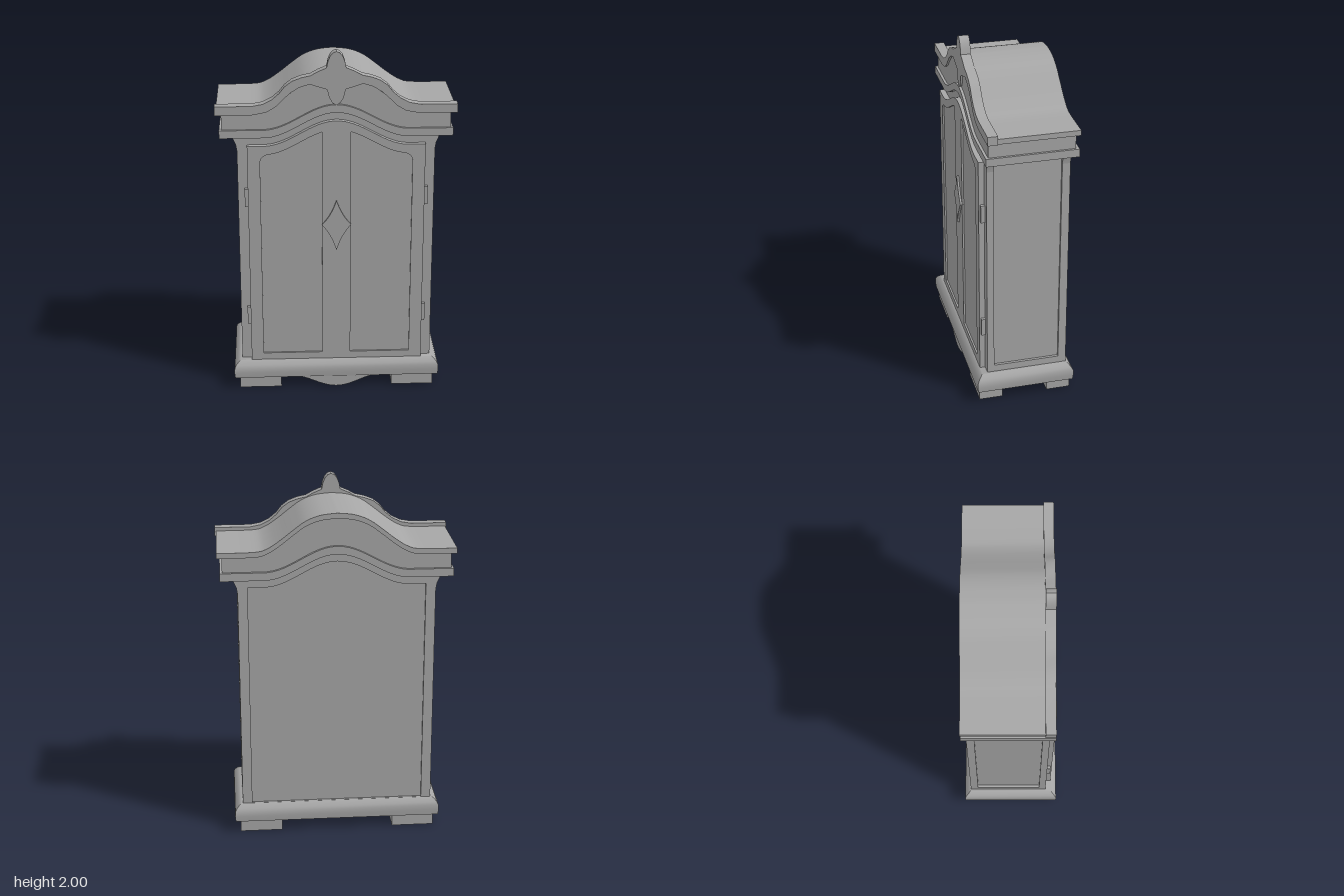
import * as THREE from 'three';
import { toCreasedNormals } from 'three/addons/utils/BufferGeometryUtils.js';

const wood = new THREE.MeshStandardMaterial({ color: 0xa6a6a6 });
wood.name = 'plain grey';

// Bell curve shared by the door, cornice and back panel
const arch = (x) => (Math.abs(x) < 0.4 ? 0.07 * (1 + Math.cos((Math.PI * x) / 0.4)) : 0);

// Half profile of the roof, read from the centre outward
const ROOF = new THREE.SplineCurve([
  [0, 1.89], [0.09, 1.88], [0.17, 1.85], [0.24, 1.8], [0.31, 1.745], [0.38, 1.7], [0.45, 1.682], [0.655, 1.68],
].map((p) => new THREE.Vector2(...p))).getPoints(42);
function roofY(x) {
  const a = Math.abs(x);
  for (let i = 1; i < ROOF.length; i++) {
    if (a <= ROOF[i].x) {
      const t = (a - ROOF[i - 1].x) / (ROOF[i].x - ROOF[i - 1].x);
      return THREE.MathUtils.lerp(ROOF[i - 1].y, ROOF[i].y, t);
    }
  }
  return 1.68;
}

// Points along y = f(x) from x0 to x1
function curve(f, x0, x1, n = 40) {
  return Array.from({ length: n + 1 }, (_, i) => {
    const x = x0 + ((x1 - x0) * i) / n;
    return new THREE.Vector2(x, f(x));
  });
}
// Closed outline between a lower and an upper curve
const between = (x0, x1, low, high, n) => [...curve(low, x0, x1, n), ...curve(high, x1, x0, n)];
const mirrored = (half) => [...half, ...half.filter((p) => p[0] > 0).reverse().map(([x, y]) => [-x, y])]
  .map((p) => new THREE.Vector2(...p));

function extrude(points, z0, z1, holes = []) {
  const shape = new THREE.Shape(points);
  shape.holes = holes.map((h) => new THREE.Path(h));
  const geo = new THREE.ExtrudeGeometry(shape, { depth: z1 - z0, bevelEnabled: false });
  geo.translate(0, 0, z0);
  return toCreasedNormals(geo, 0.5);
}

// Stack of rectangles [halfX, halfZ, y] with capped ends
function rectangleLoft(levels) {
  const pos = [];
  const idx = [];
  levels.forEach(([x, z, y]) => pos.push(-x, y, z, x, y, z, x, y, -z, -x, y, -z));
  for (let l = 0; l < levels.length - 1; l++) {
    for (let k = 0; k < 4; k++) {
      const a = l * 4 + k;
      const b = l * 4 + ((k + 1) % 4);
      idx.push(a, b, b + 4, a, b + 4, a + 4);
    }
  }
  const t = (levels.length - 1) * 4;
  idx.push(0, 2, 1, 0, 3, 2, t, t + 1, t + 2, t, t + 2, t + 3);
  const geo = new THREE.BufferGeometry();
  geo.setAttribute('position', new THREE.Float32BufferAttribute(pos, 3));
  geo.setIndex(idx);
  return toCreasedNormals(geo, 0.8);
}

export function createModel() {
  const group = new THREE.Group();
  const add = (name, geo) => {
    const mesh = new THREE.Mesh(geo, wood);
    mesh.name = name;
    group.add(mesh);
    return mesh;
  };
  const box = (name, x0, x1, y0, y1, z0, z1) =>
    add(name, new THREE.BoxGeometry(x1 - x0, y1 - y0, z1 - z0)
      .translate((x0 + x1) / 2, (y0 + y1) / 2, (z0 + z1) / 2));
  const flat = (y) => () => y;
  const arched = (y) => (x) => y + arch(x);

  // Feet and curved apron
  for (const s of [-1, 1]) {
    for (const [z0, z1] of [[0.13, 0.265], [-0.265, -0.13]]) {
      box('foot', s * 0.44 - 0.12, s * 0.44 + 0.12, 0, 0.075, z0, z1);
    }
  }
  const apronLow = (x) => 0.072 - 0.036 * (1 + Math.cos((Math.PI * x) / 0.26));
  add('apron', extrude(between(-0.25, 0.25, apronLow, flat(0.075), 24), 0.245, 0.27));

  // Rounded plinth
  add('plinth', rectangleLoft([
    [0.588, 0.278, 0.068], [0.592, 0.281, 0.1], [0.59, 0.28, 0.13],
    [0.582, 0.272, 0.145], [0.57, 0.26, 0.158], [0.555, 0.248, 0.169],
  ]));

  // Cabinet body: core, back frame and side frames
  add('cabinetCore', extrude(between(-0.53, 0.53, flat(0.16), arched(1.54)), -0.232, 0.215));
  add('backFrame', extrude(
    between(-0.545, 0.545, flat(0.16), arched(1.54)), -0.245, -0.232,
    [between(-0.49, 0.49, flat(0.17), arched(1.475))],
  ));
  const rect = (a, b, c, d) => [[a, c], [b, c], [b, d], [a, d]].map((p) => new THREE.Vector2(...p));
  for (const s of [-1, 1]) {
    const frame = extrude(rect(-0.215, 0.232, 0.16, 1.54), 0, 0.015, [rect(-0.175, 0.2, 0.21, 1.475)]);
    frame.rotateY(Math.PI / 2);
    // keep the frame thickness inside its own side of the cabinet
    frame.translate(s > 0 ? 0.53 : -0.545, 0, 0);
    add('sideFrame', frame);
    // Flare below the cornice
    const flare = [[0.54, 1.44], [0.545, 1.44], [0.551, 1.475], [0.572, 1.525], [0.54, 1.525]]
      .map(([x, y]) => new THREE.Vector2(s * x, y));
    add('flaredCapital', extrude(flare, -0.245, -0.2));
    add('flaredCapital', extrude(flare, 0.175, 0.215));
    const middle = [[0.54, 1.475], [0.551, 1.475], [0.572, 1.525], [0.54, 1.525]]
      .map(([x, y]) => new THREE.Vector2(s * x, y));
    add('sideFlare', extrude(middle, -0.2, 0.175));
  }

  // Door front with two sunken panels that follow the arch
  const panels = [-1, 1].map((s) => {
    const top = (x) => {
      const corner = Math.max(0, (Math.abs(x) - 0.37) / 0.05);
      return 1.425 + arch(x) - 0.04 * (1 - Math.sqrt(Math.max(0, 1 - corner * corner)));
    };
    return s < 0 ? between(-0.42, -0.08, flat(0.21), top) : between(0.08, 0.42, flat(0.21), top);
  });
  add('doorPanels', extrude(between(-0.48, 0.48, flat(0.175), arched(1.465)), 0.21, 0.236));
  add('doorFrame', extrude(between(-0.49, 0.49, flat(0.165), arched(1.475)), 0.21, 0.246, panels));

  // Hinges
  for (const s of [-1, 1]) {
    for (const y of [0.45, 1.17]) {
      box('hinge', s * 0.498 - 0.01, s * 0.498 + 0.01, y - 0.052, y + 0.052, 0.21, 0.238);
    }
  }

  // Diamond escutcheon with hollow sides
  const star = new THREE.Shape();
  star.moveTo(0, 0.855);
  star.quadraticCurveTo(0.03, 0.955, 0.082, 1.01);
  star.quadraticCurveTo(0.03, 1.06, 0, 1.155);
  star.quadraticCurveTo(-0.03, 1.06, -0.082, 1.01);
  star.quadraticCurveTo(-0.03, 0.955, 0, 0.855);
  add('escutcheon', extrude(star.getPoints(8).slice(0, -1), 0.24, 0.257));

  // Cornice: lower moulding, frieze and arched roof
  add('corniceMoulding', extrude(between(-0.64, 0.64, arched(1.52), arched(1.565)), -0.265, 0.24));
  add('frieze', extrude(between(-0.627, 0.627, arched(1.555), (x) => roofY(x) - 0.025, 60), -0.247, 0.225));
  add('roof', extrude(between(-0.655, 0.655, (x) => roofY(x) - 0.03, roofY, 80), -0.265, 0.2));

  // Front crest moulding with finial
  const crest = mirrored([
    [0, 1.7], [0.022, 1.715], [0.04, 1.745], [0.05, 1.79], [0.1, 1.805], [0.145, 1.82], [0.2, 1.803],
    [0.25, 1.772], [0.29, 1.735], [0.33, 1.695], [0.38, 1.665], [0.46, 1.65], [0.662, 1.65], [0.662, 1.7],
    [0.46, 1.7], [0.4, 1.711], [0.35, 1.736], [0.31, 1.77], [0.28, 1.808], [0.24, 1.838], [0.19, 1.857],
    [0.14, 1.868], [0.1, 1.89], [0.053, 1.91], [0.046, 1.945], [0.034, 1.975], [0.018, 1.993], [0, 2],
  ]);
  add('crest', extrude(crest, 0.18, 0.236));

  return group;
}
